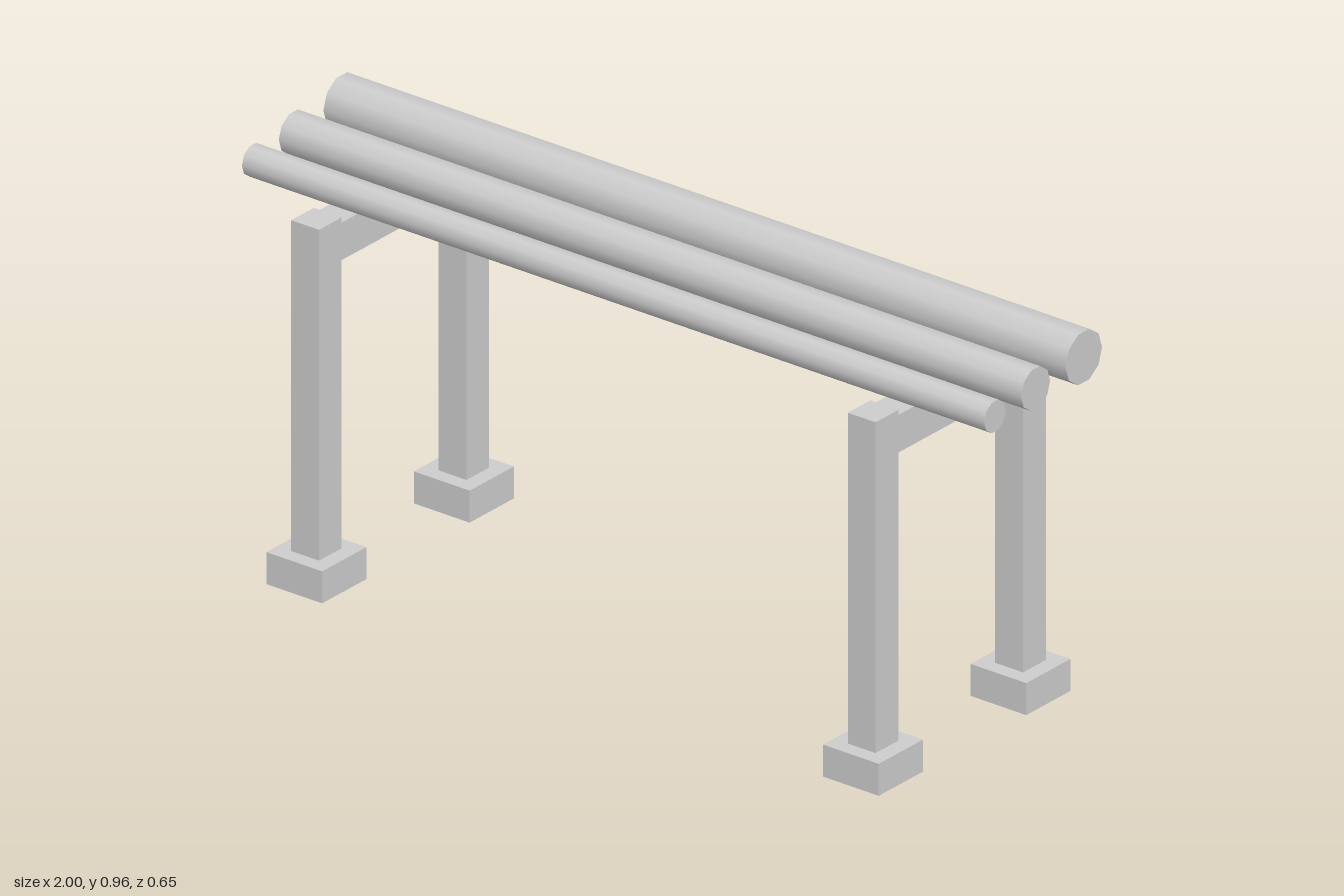
import * as THREE from 'three';

export function createModel() {
  const model = new THREE.Group();
  model.name = 'bench';
  const grey = new THREE.MeshStandardMaterial({ color: 0xcccccc });
  grey.name = 'light grey';

  const add = (parent, name, geometry, x, y, z) => {
    const mesh = new THREE.Mesh(geometry, grey);
    mesh.name = name;
    mesh.position.set(x, y, z);
    parent.add(mesh);
  };

  // Two portal frames: a crossbeam between two legs on square feet
  for (const side of [-1, 1]) {
    const frame = new THREE.Group();
    frame.name = side > 0 ? 'leftFrame' : 'rightFrame';
    frame.position.x = side * 0.75;
    model.add(frame);
    add(frame, 'crossbeam', new THREE.BoxGeometry(0.075, 0.088, 0.424), 0, 0.794, 0);
    for (const end of [-1, 1]) {
      const prefix = end > 0 ? 'front' : 'back';
      add(frame, prefix + 'Leg', new THREE.BoxGeometry(0.075, 0.775, 0.077), 0, 0.4625, end * 0.25);
      add(frame, prefix + 'Foot', new THREE.BoxGeometry(0.15, 0.075, 0.15), 0, 0.0375, end * 0.25);
    }
  }

  // Three ten-sided seat poles, thicker towards the back: name, radius, y, z
  const poles = [
    ['frontPole', 0.037, 0.876, 0.151],
    ['middlePole', 0.0495, 0.889, 0.0135],
    ['backPole', 0.062, 0.901, -0.15],
  ];
  for (const [name, radius, y, z] of poles) {
    const geometry = new THREE.CylinderGeometry(radius, radius, 2, 10).rotateZ(Math.PI / 2);
    add(model, name, geometry, 0, y, z);
  }
  return model;
}
